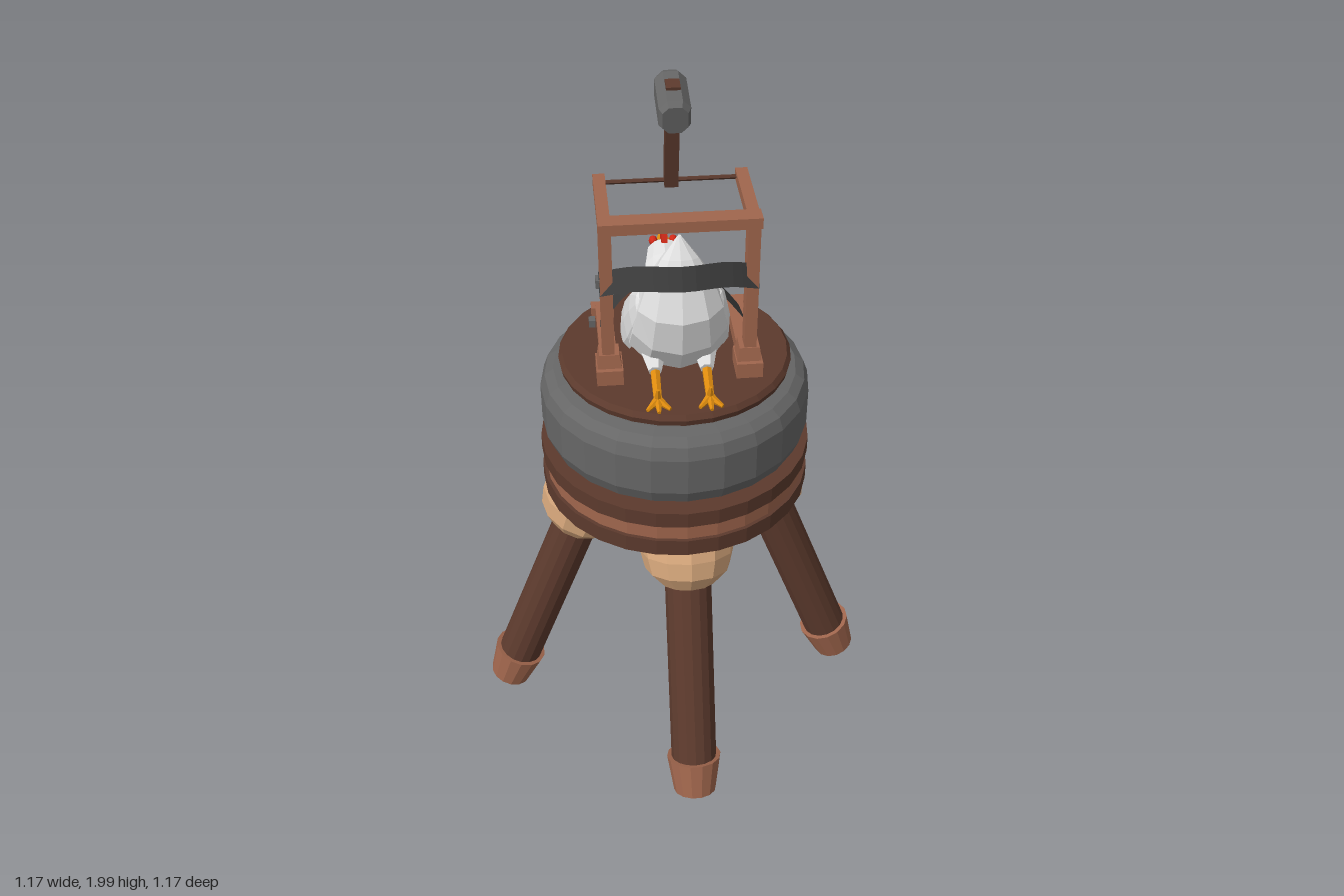
import * as THREE from 'three';

const mat = (name, color, side = THREE.FrontSide) => {
  const m = new THREE.MeshStandardMaterial({ color, side });
  m.name = name;
  return m;
};

export function createModel() {
  const darkWood = mat('dark wood', 0x5c3a2d);
  const lightWood = mat('light wood', 0xa0664d);
  const paleWood = mat('pale wood', 0xdaaa7e);
  const grey = mat('grey', 0x666666);
  const strapGrey = mat('strap', 0x3b3b3b, THREE.DoubleSide);
  const white = mat('feathers', 0xe0e0e0);
  const orange = mat('orange', 0xdc8a0e);
  const red = mat('red', 0xd42a18);

  const model = new THREE.Group();
  model.name = 'hammerStool';
  const V = (x, y, z) => new THREE.Vector3(x, y, z);

  // Faceted mesh helper
  const add = (parent, name, geo, material, pos = [0, 0, 0], rot = [0, 0, 0]) => {
    const g = geo.index ? geo.toNonIndexed() : geo;
    g.computeVertexNormals();
    const mesh = new THREE.Mesh(g, material);
    mesh.name = name;
    mesh.position.set(...pos);
    mesh.rotation.set(...rot);
    parent.add(mesh);
    return mesh;
  };
  const box = (parent, name, size, material, pos, rot) =>
    add(parent, name, new THREE.BoxGeometry(...size), material, pos, rot);
  const cyl = (parent, name, rTop, rBottom, h, n, material, pos, rot) =>
    add(parent, name, new THREE.CylinderGeometry(rTop, rBottom, h, n), material, pos, rot);
  const lathe = (parent, name, profile, n, material, pos) =>
    add(parent, name, new THREE.LatheGeometry(profile.map(p => new THREE.Vector2(...p)), n), material, pos);
  // Tapered rod from a to b
  const rod = (parent, name, a, b, rA, rB, material, n = 6) => {
    const d = b.clone().sub(a);
    const m = cyl(parent, name, rB, rA, d.length(), n, material, a.clone().add(b).multiplyScalar(0.5).toArray());
    m.quaternion.setFromUnitVectors(V(0, 1, 0), d.normalize());
    return m;
  };

  // Four splayed legs, each with a ball joint and a foot cap
  const jointProfile = [[0, -0.126], [0.078, -0.12], [0.12, -0.075], [0.133, -0.02], [0.133, 0.03],
    [0.12, 0.075], [0, 0.12]];
  for (let i = 0; i < 4; i++) {
    const arm = new THREE.Group();
    arm.name = 'legArm';
    arm.position.set(-0.003, 0, -0.006);
    arm.rotation.y = i * Math.PI / 2;
    const leg = new THREE.Group();
    leg.name = 'leg';
    leg.position.set(0.25, 0.765, -0.013);
    leg.rotation.z = 0.362;
    arm.add(leg);
    lathe(leg, 'ballJoint', jointProfile, 12, paleWood);
    cyl(leg, 'legShaft', 0.066, 0.066, 0.7, 16, darkWood, [0, -0.4, 0]);
    cyl(leg, 'footCap', 0.079, 0.062, 0.112, 14, lightWood, [0, -0.733, 0]);
    model.add(arm);
  }

  // Stacked base discs, tyre and round platform
  const cz = -0.012;
  cyl(model, 'baseDisc', 0.38, 0.38, 0.05, 28, darkWood, [0, 0.85, cz]);
  cyl(model, 'middleDisc', 0.37, 0.37, 0.05, 28, lightWood, [0, 0.9, cz]);
  cyl(model, 'upperDisc', 0.38, 0.38, 0.047, 28, darkWood, [0, 0.9485, cz]);
  lathe(model, 'tyre', [[0, 0.972], [0.325, 0.975], [0.357, 0.997], [0.373, 1.037], [0.373, 1.145],
    [0.36, 1.18], [0.335, 1.198], [0.3, 1.203], [0, 1.203]], 24, grey, [0, 0, cz]);
  lathe(model, 'platform', [[0, 1.2], [0.29, 1.2], [0.298, 1.214], [0.315, 1.219], [0.319, 1.236],
    [0.308, 1.25], [0, 1.25]], 28, darkWood, [0, 0, cz]);

  // Wooden frame: mirrored rails, posts and top arms
  for (const s of [-1, 1]) {
    box(model, 'bottomRail', [0.045, 0.04, 0.31], lightWood, [s * 0.185, 1.268, -0.04]);
    box(model, 'railEnd', [0.063, 0.035, 0.035], lightWood, [s * 0.188, 1.267, -0.187]);
    box(model, 'postBase', [0.07, 0.045, 0.09], lightWood, [s * 0.185, 1.272, 0.107]);
    cyl(model, 'postCollar', 0.038, 0.046, 0.042, 4, lightWood, [s * 0.185, 1.313, 0.107], [0, Math.PI / 4, 0]);
    box(model, 'post', [0.032, 0.41, 0.045], lightWood, [s * 0.187, 1.5, 0.108]);
    box(model, 'topArm', [0.032, 0.028, 0.26], lightWood, [s * 0.187, 1.705, -0.01]);
    box(model, 'railBolt', [0.018, 0.022, 0.024], grey, [s * 0.22, 1.276, -0.115]);
  }
  box(model, 'postBolt', [0.012, 0.024, 0.028], grey, [-0.207, 1.54, 0.1]);
  box(model, 'topBeam', [0.41, 0.03, 0.05], lightWood, [0.002, 1.705, 0.108]);
  cyl(model, 'axle', 0.006, 0.006, 0.36, 6, darkWood, [0, 1.705, -0.118], [0, 0, Math.PI / 2]);

  // Hammer pivoting on the axle
  const hammer = new THREE.Group();
  hammer.name = 'hammer';
  hammer.position.set(0, 1.695, -0.118);
  hammer.rotation.x = 0.18;
  model.add(hammer);
  box(hammer, 'handle', [0.036, 0.307, 0.038], darkWood, [0, 0.1535, 0]);
  // Chamfered block for the head
  const hx = 0.032, hy = 0.037, c = 0.016;
  const outline = new THREE.Shape([[hx, -hy + c], [hx, hy - c], [hx - c, hy], [c - hx, hy], [-hx, hy - c],
    [-hx, c - hy], [c - hx, -hy], [hx - c, -hy]].map(p => new THREE.Vector2(...p)));
  const head = new THREE.ExtrudeGeometry(outline, {
    depth: 0.125, bevelThickness: 0.018, bevelSize: 0.008, bevelSegments: 1 });
  head.translate(0, 0, -0.0625);
  add(hammer, 'hammerHead', head, grey, [0, 0.254, 0]);

  // Bird body lofted through rings: [top z, top y, bottom z, bottom y, half width]
  const rings = [
    [0.108, 1.672, 0.112, 1.668, 0.004], [0.09, 1.605, 0.15, 1.62, 0.05],
    [0.07, 1.55, 0.188, 1.553, 0.09], [0.04, 1.5, 0.215, 1.47, 0.115],
    [0.01, 1.46, 0.195, 1.365, 0.13], [-0.03, 1.42, 0.14, 1.285, 0.137],
    [-0.08, 1.39, 0.02, 1.25, 0.128], [-0.14, 1.382, -0.1, 1.257, 0.1],
    [-0.2, 1.358, -0.19, 1.27, 0.076], [-0.285, 1.385, -0.275, 1.292, 0.06],
    [-0.345, 1.394, -0.345, 1.322, 0.047], [-0.378, 1.378, -0.375, 1.345, 0.022]];
  const N = 10, pts = [], idx = [];
  rings.forEach(([tz, ty, bz, by, w]) => {
    for (let j = 0; j < N; j++) {
      const a = j / N * Math.PI * 2, k = Math.cos(a);
      pts.push(Math.sin(a) * w, (ty + by) / 2 + k * (ty - by) / 2, (tz + bz) / 2 + k * (tz - bz) / 2);
    }
  });
  for (let i = 0; i < rings.length - 1; i++) {
    for (let j = 0; j < N; j++) {
      const a = i * N + j, b = i * N + (j + 1) % N;
      idx.push(a, b, a + N, b, b + N, a + N);
    }
  }
  const last = (rings.length - 1) * N;
  for (let j = 1; j < N - 1; j++) {
    idx.push(0, j + 1, j);
    idx.push(last, last + j, last + j + 1);
  }
  const body = new THREE.BufferGeometry();
  body.setAttribute('position', new THREE.Float32BufferAttribute(pts, 3));
  body.setIndex(idx);
  add(model, 'birdBody', body, white);

  // Wings, thighs, feet and eyes, mirrored
  for (const s of [-1, 1]) {
    const wing = new THREE.SphereGeometry(1, 8, 6);
    wing.scale(0.024, 0.15, 0.07);
    add(model, 'wing', wing, white, [s * 0.118, 1.385, 0.045], [0.7, 0, s * 0.12]);
    const x = s * 0.068;
    rod(model, 'thigh', V(x, 1.32, 0.1), V(x, 1.3, 0.168), 0.036, 0.018, white, 7);
    const ankle = V(x, 1.264, 0.245);
    rod(model, 'shank', V(x, 1.302, 0.15), ankle, 0.014, 0.012, orange);
    for (const t of [-1, 0, 1]) {
      rod(model, 'toe', ankle, V(x + t * 0.03, 1.256, t ? 0.278 : 0.29), 0.013, 0.005, orange);
    }
    rod(model, 'spur', ankle, V(x, 1.3, 0.252), 0.011, 0.004, orange);
    const eye = new THREE.SphereGeometry(1, 8, 6);
    eye.scale(0.013, 0.014, 0.016);
    add(model, 'eyePatch', eye, red, [s * 0.029, 1.383, -0.358]);
  }

  // Beak and comb
  rod(model, 'upperBeak', V(0, 1.366, -0.362), V(0, 1.385, -0.428), 0.025, 0.002, orange);
  rod(model, 'lowerBeak', V(0, 1.352, -0.362), V(0, 1.336, -0.404), 0.02, 0.002, orange);
  for (let i = 0; i < 3; i++) {
    box(model, 'comb', [0.016, 0.03, 0.022], red, [0, 1.413 - i * 0.008, -0.322 - i * 0.018], [-0.35, 0, 0]);
  }

  // Straps: a band swept along a path, with a fixed width direction
  const strap = (name, path, across) => {
    const p = [], f = [];
    new THREE.CatmullRomCurve3(path).getPoints(14).forEach((q, i) => {
      p.push(...q.clone().add(across).toArray(), ...q.clone().sub(across).toArray());
      if (i) f.push(2 * i - 2, 2 * i - 1, 2 * i, 2 * i, 2 * i - 1, 2 * i + 1);
    });
    const g = new THREE.BufferGeometry();
    g.setAttribute('position', new THREE.Float32BufferAttribute(p, 3));
    g.setIndex(f);
    add(model, name, g, strapGrey);
  };
  strap('tailStrap', [V(-0.205, 1.542, 0.115), V(-0.12, 1.574, 0.15), V(0, 1.588, 0.186),
    V(0.12, 1.574, 0.15), V(0.205, 1.542, 0.115)], V(0, 0.028, -0.015));
  strap('neckStrap', [V(-0.2, 1.285, -0.105), V(-0.13, 1.36, -0.135), V(-0.06, 1.396, -0.152), V(0, 1.403, -0.155),
    V(0.06, 1.396, -0.152), V(0.13, 1.36, -0.135), V(0.2, 1.285, -0.105)], V(0, 0.005, 0.039));

  return model;
}
